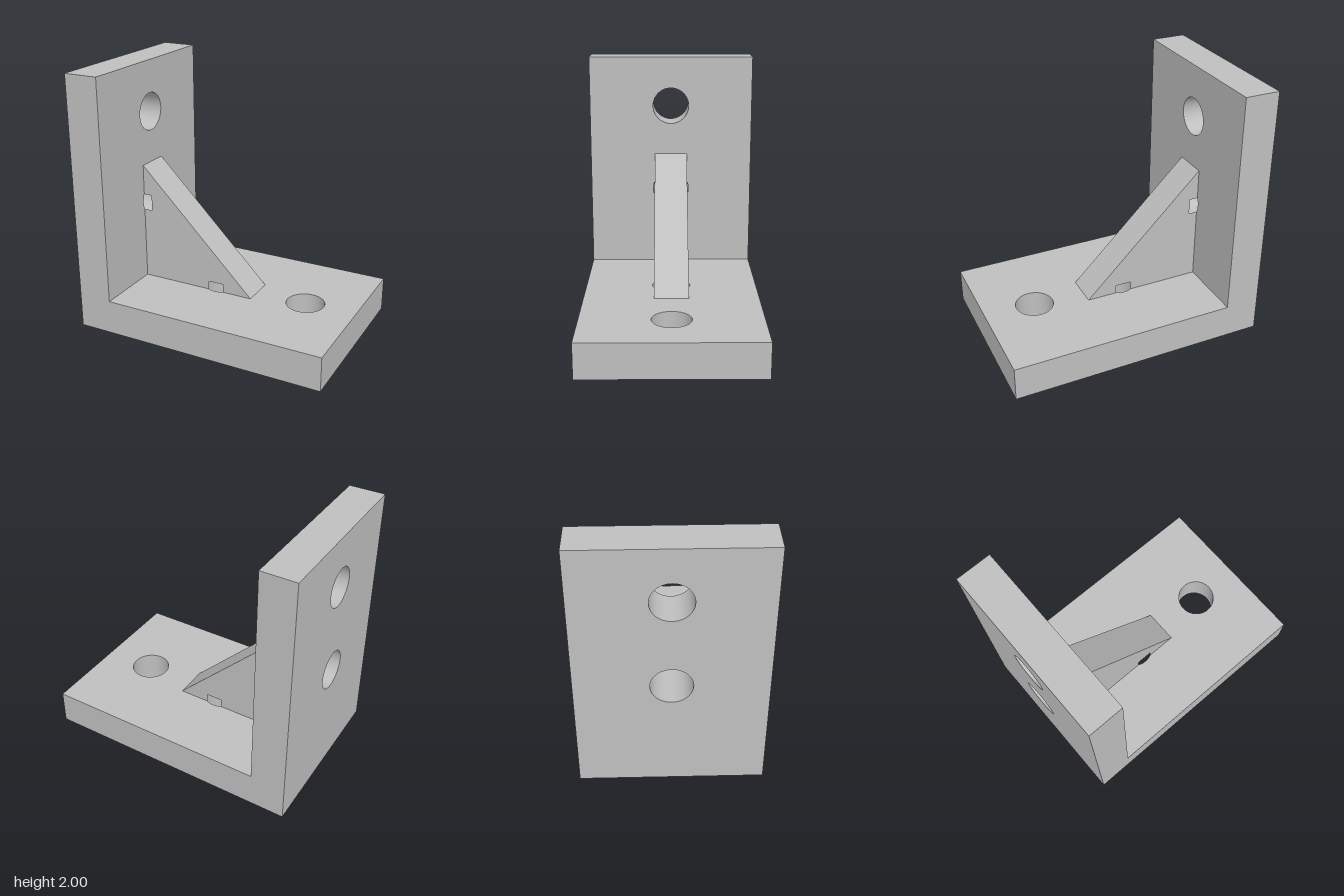
import * as THREE from 'three';

const LEN = 2, T = 0.267, HALF_W = 0.667;     // leg length, thickness, half width
const RIB = 0.133, RIB_END = 1.2;             // gusset half thickness and reach
const R = 0.147, HOLES = [0.9, 1.6];          // bolt holes along each leg
const POCKET = 0.334;                         // top of the bore where it cuts the gusset
const NOTCH = Math.sqrt(R * R - RIB * RIB);   // half width of the cut on the gusset side

const X = new THREE.Vector3(1, 0, 0), Y = new THREE.Vector3(0, 1, 0), Z = new THREE.Vector3(0, 0, 1);

const polygon = (...pts) => new THREE.Shape(pts.map(([x, y]) => new THREE.Vector2(x, y)));
const rect = (x0, x1, y0, y1) => polygon([x0, y0], [x1, y0], [x1, y1], [x0, y1]);

export function createModel() {
  const grey = new THREE.MeshStandardMaterial({ color: 0xbfbfbf });

  // flat face spanned by u and v, facing u x v
  function face(parent, name, shape, u, v, x = 0, y = 0, z = 0) {
    const geo = new THREE.ShapeGeometry(shape, 32);
    const n = new THREE.Vector3().crossVectors(u, v);
    geo.applyMatrix4(new THREE.Matrix4().makeBasis(u, v, n).setPosition(x, y, z));
    const mesh = new THREE.Mesh(geo, grey);
    mesh.name = name;
    parent.add(mesh);
  }

  // inward facing cylinder wall running down from y1 to y0
  function bore(parent, name, x, y0, y1, start = 0, length = Math.PI * 2) {
    const profile = [new THREE.Vector2(R, y1), new THREE.Vector2(R, y0)];
    const mesh = new THREE.Mesh(new THREE.LatheGeometry(profile, 64, start, length), grey);
    mesh.position.x = x;
    mesh.name = name;
    parent.add(mesh);
  }

  function drilled(from) {
    const shape = rect(from, LEN, -HALF_W, HALF_W);
    for (const a of HOLES) shape.holes.push(new THREE.Path().absarc(a, 0, R, 0, Math.PI * 2, true));
    return shape;
  }

  // One leg with its share of the gusset; the corner lies at the origin
  function makeLeg(name) {
    const leg = new THREE.Group();
    leg.name = name;
    face(leg, 'outerFace', drilled(0), X, Z);
    face(leg, 'innerFace', drilled(T), X, Z.clone().negate(), 0, T);
    face(leg, 'endFace', rect(0, T, -HALF_W, HALF_W), Y, Z, LEN);
    for (const a of HOLES) bore(leg, 'boltHole', a, 0, T);

    // L-shaped side
    face(leg, 'bracketSide', polygon([0, 0], [LEN, 0], [LEN, T], [T, T], [T, LEN], [0, LEN]), X, Y, 0, 0, HALF_W);

    // gusset side, notched where the bores pass
    const h = HOLES[0], lo = h - NOTCH, hi = h + NOTCH;
    face(leg, 'gussetSide', polygon(
      [T, T], [lo, T], [lo, POCKET], [hi, POCKET], [hi, T], [RIB_END, T],
      [T, RIB_END], [T, hi], [POCKET, hi], [POCKET, lo], [T, lo]), X, Y, 0, 0, RIB);

    // pocket the bore leaves inside the gusset: two curved walls and a flat end
    const phi = Math.acos(RIB / R), beta = Math.asin(RIB / R);
    for (const s of [0, Math.PI]) bore(leg, 'pocketWall', h, T, POCKET, s + phi, Math.PI - 2 * phi);
    const end = new THREE.Shape();
    end.absarc(h, 0, R, -beta, beta, false);
    end.absarc(h, 0, R, Math.PI - beta, Math.PI + beta, false);
    face(leg, 'pocketEnd', end, X, Z, 0, POCKET);
    return leg;
  }

  const model = new THREE.Group();
  model.name = 'angleBracket';
  const bracket = new THREE.Group();
  bracket.name = 'bracket';
  bracket.position.x = -1;
  model.add(bracket);

  // The upright is the base turned half round about the diagonal
  const upright = makeLeg('uprightLeg');
  upright.applyMatrix4(new THREE.Matrix4().set(0, 1, 0, 0, 1, 0, 0, 0, 0, 0, -1, 0, 0, 0, 0, 1));
  bracket.add(makeLeg('baseLeg'), upright);

  // sloping face of the gusset
  const down = new THREE.Vector3(1, -1, 0).normalize();
  face(bracket, 'gussetSlope', rect(-RIB, RIB, 0, (RIB_END - T) * Math.SQRT2), Z, down, T, RIB_END);

  return model;
}
